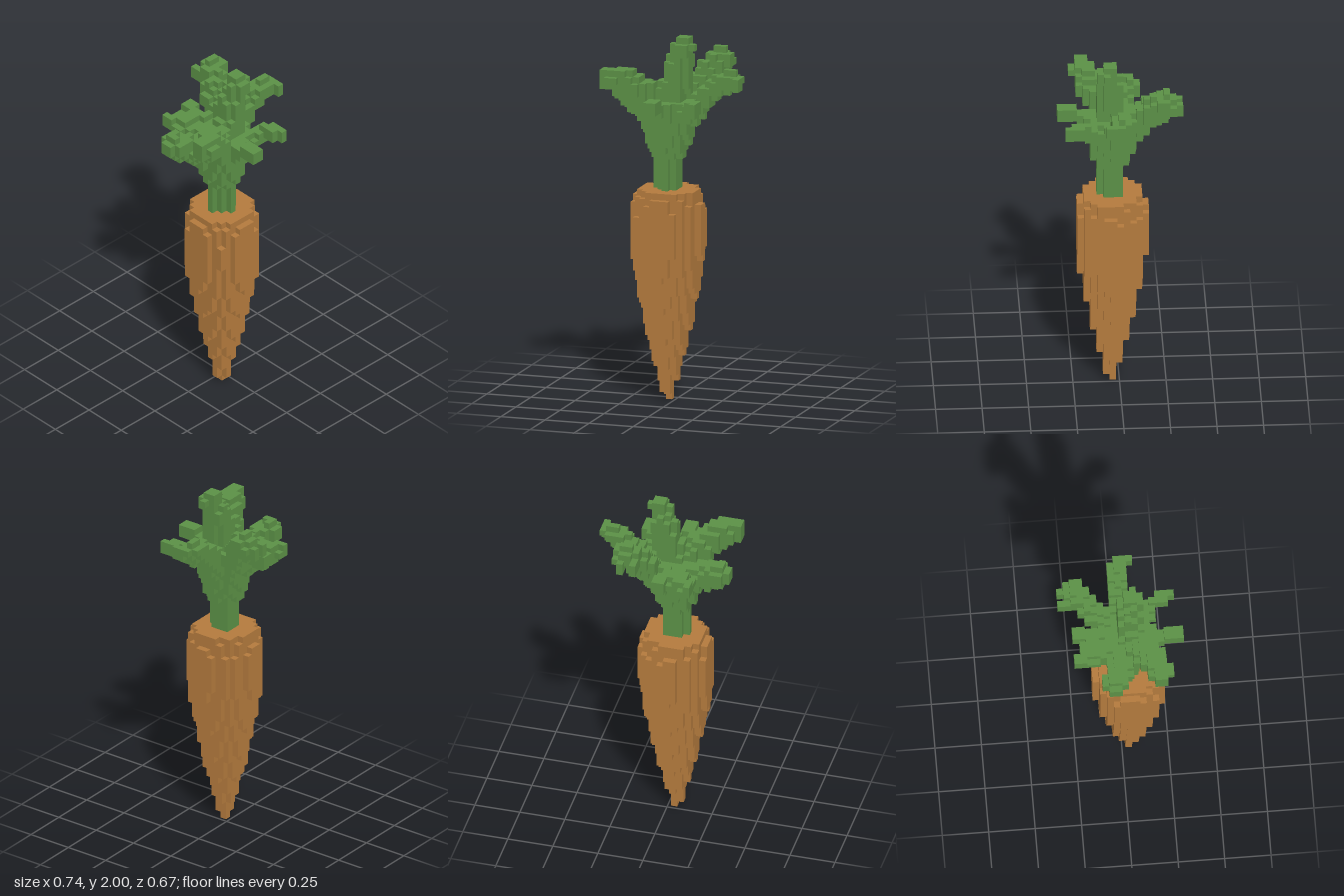
import * as THREE from 'three';
import { mergeGeometries, mergeVertices } from 'three/addons/utils/BufferGeometryUtils.js';

const S = 2 / 57; // edge of one cube
const CENTRE = [-0.035, S / 2, 0.035]; // centre of cube (0, 0, 0)
const key = (i, j, k) => `${i},${j},${k}`;

// Outer skin of a set of cubes: one square for each uncovered side
function skin(cells, solid) {
  const faces = [];
  const sides = [[1, 0, 0], [-1, 0, 0], [0, 1, 0], [0, -1, 0], [0, 0, 1], [0, 0, -1]];
  const z = new THREE.Vector3(0, 0, 1);
  for (const [i, j, k] of cells.values()) {
    for (const [a, b, c] of sides) {
      if (solid.has(key(i + a, j + b, k + c))) continue;
      const q = new THREE.Quaternion().setFromUnitVectors(z, new THREE.Vector3(a, b, c));
      const face = new THREE.PlaneGeometry(S, S).applyQuaternion(q);
      face.translate(
        CENTRE[0] + (i + a / 2) * S,
        CENTRE[1] + (j + b / 2) * S,
        CENTRE[2] + (k + c / 2) * S
      );
      faces.push(face);
    }
  }
  return mergeVertices(mergeGeometries(faces));
}

// Fill a vertical round solid; radiusAt gives the radius of each layer
function fillRound(cells, from, to, cx, cz, radiusAt) {
  for (let j = from; j < to; j++) {
    for (let i = -6; i <= 6; i++) {
      for (let k = -6; k <= 6; k++) {
        if (Math.hypot(i - cx, k - cz) < radiusAt(j)) cells.set(key(i, j, k), [i, j, k]);
      }
    }
  }
}

// Small repeatable roughness for the foliage
const rough = (i, j, k) => {
  const n = Math.sin(i * 12.99 + j * 78.23 + k * 37.72) * 43758.55;
  return (n - Math.floor(n) - 0.5) * 0.2;
};

// Fill a tapering limb through points [i, j, k, radius]
function fillLimb(cells, points) {
  for (let n = 0; n + 1 < points.length; n++) {
    const p = points[n], q = points[n + 1];
    const a = new THREE.Vector3(p[0], p[1], p[2]);
    const b = new THREE.Vector3(q[0], q[1], q[2]);
    const line = new THREE.Line3(a, b);
    const at = new THREE.Vector3(), near = new THREE.Vector3();
    for (let i = -9; i <= 11; i++) {
      for (let j = 38; j <= 56; j++) {
        for (let k = -10; k <= 8; k++) {
          at.set(i, j, k);
          const t = line.closestPointToPointParameter(at, true);
          const r = p[3] + (q[3] - p[3]) * t + rough(i, j, k);
          if (line.at(t, near).distanceTo(at) < r) cells.set(key(i, j, k), [i, j, k]);
        }
      }
    }
  }
}

export function createModel() {
  const root = new Map(), stem = new Map(), leaves = new Map();

  // Tapered root: [layer, radius]
  const profile = [[0, 0.5], [1, 0.85], [3, 1.25], [5, 1.85], [7, 2.25], [9, 2.85], [11, 3.25],
    [14, 3.85], [16, 4.25], [19, 4.85], [22, 5.22], [26, 5.48], [28, 5.42], [30, 5.27], [31, 4.98], [32, 4.68], [33, 4.5]];
  fillRound(root, 0, 33, -0.2, 0.2, (j) => {
    const n = profile.findIndex((p) => p[0] > j);
    const [y0, r0] = profile[n - 1], [y1, r1] = profile[n];
    return THREE.MathUtils.mapLinear(j, y0, y1, r0, r1);
  });

  // Stem
  fillRound(stem, 33, 38, -0.2, 0.2, () => 1.86);

  // Leaf crown: a flaring clump with limbs spreading from its foot
  fillRound(leaves, 38, 47, -0.1, 0.1, (j) => 2.3 + Math.min(j - 38, 6) * 0.24 + (j > 38 ? 0.4 : 0));
  const foot = [-0.2, 40, 0.2, 2];
  const limbs = [
    [[0.2, 45, 0.5, 2.4], [1.2, 50, 0.3, 2.1], [1.8, 53, 0.3, 1.8], [2.4, 54.6, 0.8, 1.65], [2.5, 56, 0.5, 1]], // tall middle
    [[-3, 47.2, 2, 2.2], [-5.5, 49.2, 3.6, 2], [-7.5, 50, 4.5, 1.85], [-9, 50, 4.5, 1.25]], // front, -x
    [[-4, 44.5, -1, 1.9], [-7.5, 46.3, -2.5, 1.85], [-9, 46.5, -2.5, 0.9]], // side, -x
    [[-0.5, 44, 3, 1.4], [-0.5, 46, 5, 1.1], [-0.5, 46.5, 8, 0.95]], // front
    [[2, 44, 2, 1.7], [4.7, 46, 3.7, 1.05], [5.6, 46.5, 5.8, 0.95], [6, 46.5, 7, 0.75]], // front, +x
    [[3, 44.5, -0.5, 1.9], [7, 48.5, -1.3, 1.5], [9.5, 49.8, -0.8, 1.4], [11, 49.5, 0.5, 0.85]], // side, +x
    [[2, 45, -3, 1.9], [4, 49.5, -6, 1.75], [5.6, 51.6, -8, 1.75], [6, 50.5, -10, 0.85]], // back, +x
    [[2, 45, -3, 1.8], [4.2, 50, -6.5, 1.3], [4.2, 50.5, -8, 0.8], [4, 50.5, -10, 0.8]], // its fork
    [[-1.5, 44, -3, 1.9], [-2.5, 46, -6, 1.7], [-4, 46.5, -8, 0.75]], // back, -x
    [[-0.8, 44, -3, 1.9], [-0.3, 46, -5.5, 1.7], [0.5, 46.5, -8, 0.85]], // its fork
  ];
  for (const limb of limbs) fillLimb(leaves, [foot, ...limb]);

  const solid = new Set([...root.keys(), ...stem.keys(), ...leaves.keys()]);
  const orange = new THREE.MeshStandardMaterial({ color: 0xb37a3d });
  const green = new THREE.MeshStandardMaterial({ color: 0x5b9046 });
  const model = new THREE.Group();
  model.name = 'carrot';
  for (const [name, cells, material] of [['root', root, orange], ['stem', stem, green], ['leaves', leaves, green]]) {
    const mesh = new THREE.Mesh(skin(cells, solid), material);
    mesh.name = name;
    model.add(mesh);
  }
  return model;
}
